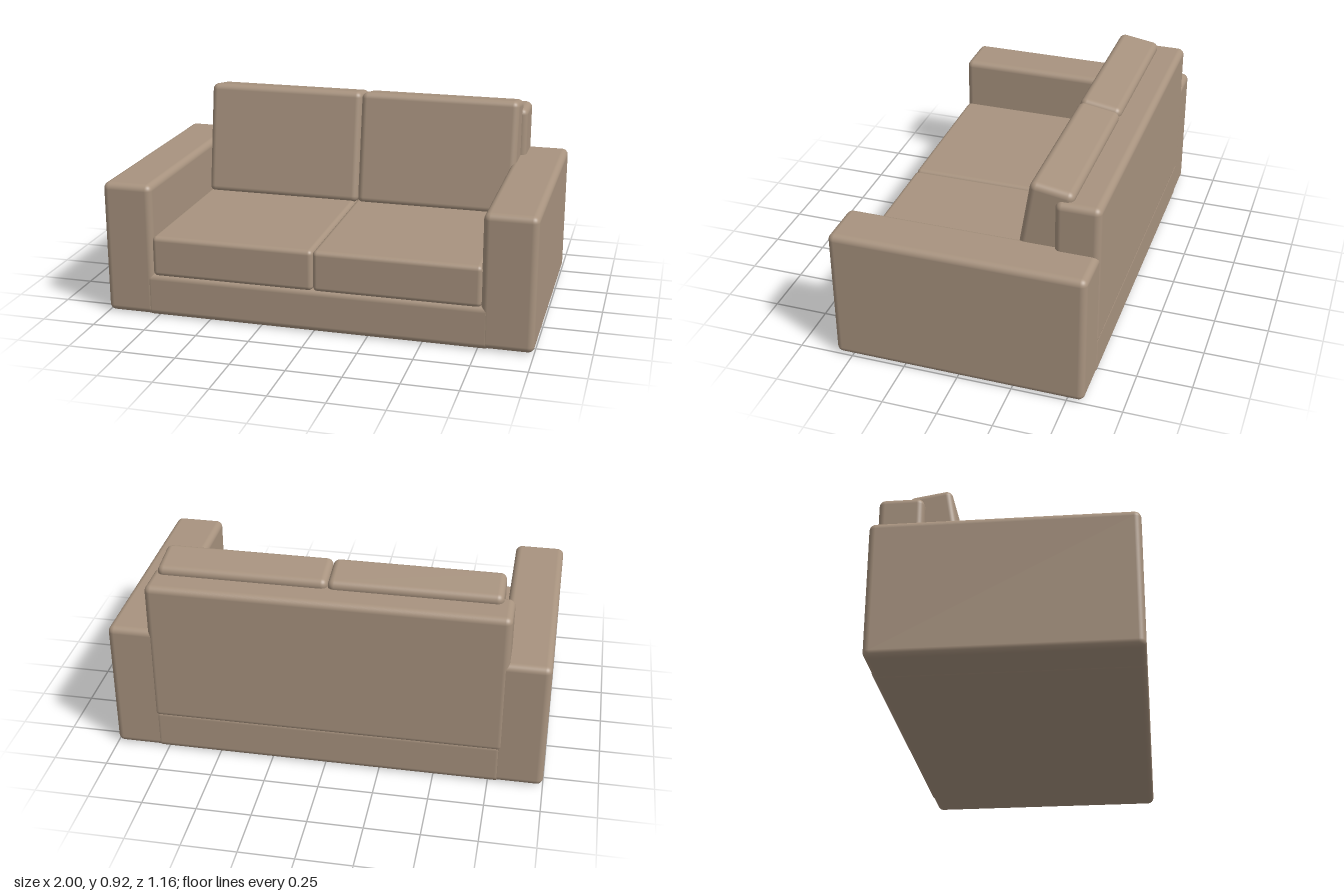
import * as THREE from 'three';
import { RoundedBoxGeometry } from 'three/addons/geometries/RoundedBoxGeometry.js';

export function createModel() {
  const sofa = new THREE.Group();
  sofa.name = 'sofa';
  const fabric = new THREE.MeshStandardMaterial({ color: 0xa8937f });
  fabric.name = 'taupe fabric';

  // Rounded block spanning the given [min, max] ranges
  function block(name, [x0, x1], [y0, y1], [z0, z1], radius = 0.03) {
    const geometry = new RoundedBoxGeometry(x1 - x0, y1 - y0, z1 - z0, 5, radius);
    const mesh = new THREE.Mesh(geometry, fabric);
    mesh.name = name;
    mesh.position.set((x0 + x1) / 2, (y0 + y1) / 2, (z0 + z1) / 2);
    sofa.add(mesh);
    return mesh;
  }

  // Frame: base, arms and backrest
  block('base', [-0.81, 0.81], [0, 0.205], [-0.578, 0.578]);
  block('rightArm', [-1, -0.765], [0.003, 0.63], [-0.576, 0.578]);
  block('leftArm', [0.76, 1], [0.003, 0.63], [-0.576, 0.578]);
  block('backrest', [-0.815, 0.812], [0.17, 0.86], [-0.58, -0.378]);

  // Seat cushions
  block('rightSeatCushion', [-0.77, -0.003], [0.195, 0.388], [-0.42, 0.576], 0.022);
  block('leftSeatCushion', [-0.003, 0.764], [0.195, 0.388], [-0.42, 0.576], 0.022);

  // Back cushions, leaning against the backrest
  for (const [name, range] of [
    ['rightBackCushion', [-0.766, 0.01]],
    ['leftBackCushion', [0.01, 0.786]],
  ]) {
    const cushion = block(name, range, [0.363, 0.913], [-0.416, -0.218]);
    cushion.rotation.x = -0.16;
  }

  return sofa;
}
